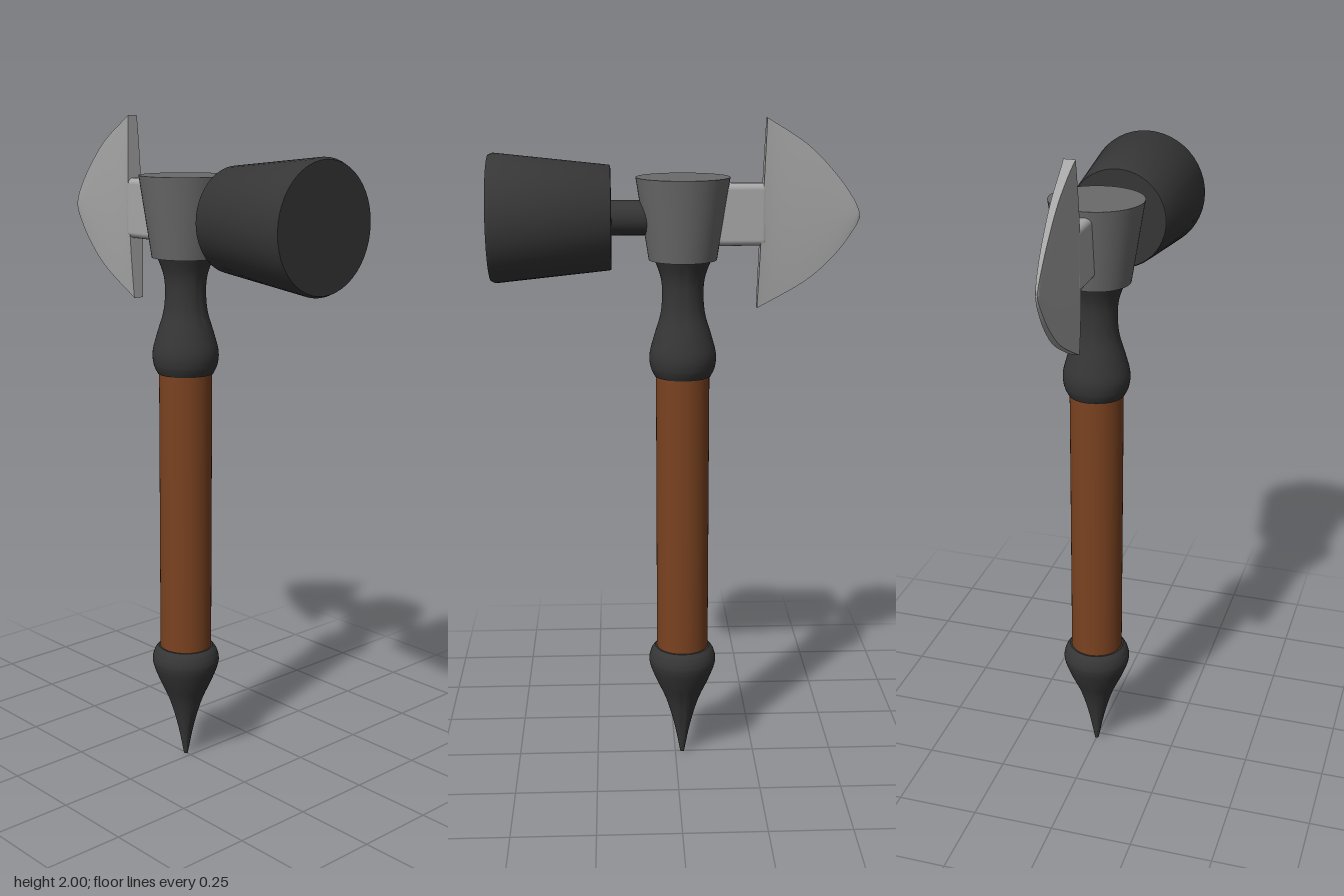
import * as THREE from 'three';
import { toCreasedNormals } from 'three/addons/utils/BufferGeometryUtils.js';
import { RoundedBoxGeometry } from 'three/addons/geometries/RoundedBoxGeometry.js';

const AXIS = -0.022; // x of the handle's axis
const HEAD_Y = 1.717; // height of the hammer and blade
const SEGMENTS = 48;

const material = (color) => new THREE.MeshStandardMaterial({ color });
const wood = material(0x7a4220);
const iron = material(0x363636);
const steel = material(0x6a6a6a);
const bright = material(0xa6a6a6);

function addMesh(group, name, geometry, mat, x, y) {
  const mesh = new THREE.Mesh(geometry, mat);
  mesh.name = name;
  mesh.position.set(x, y, 0);
  group.add(mesh);
  return mesh;
}

// Turned solid from [radius, height] pairs, listed bottom to top
function turned(profile) {
  const points = profile.map(([r, y]) => new THREE.Vector2(r, y));
  return toCreasedNormals(new THREE.LatheGeometry(points, SEGMENTS), 0.6);
}

// Same, but the key points are joined by a smooth curve and the ends are closed
function turnedSmooth(keys) {
  const curve = new THREE.SplineCurve(keys.map(([r, y]) => new THREE.Vector2(r, y)));
  const body = curve.getPoints(36).map((p) => [Math.max(p.x, 0), p.y]);
  const first = keys[0], last = keys[keys.length - 1];
  return turned([[0, first[1]], ...body, [0, last[1]]]);
}

// Blade lofted from its pointed tip to its flat back, thinning toward the rim
function bladeGeometry() {
  const spline = (pts) => new THREE.SplineCurve(pts.map(([x, y]) => new THREE.Vector2(x, y)));
  const upper = spline([[-0.539, 1.725], [-0.52, 1.767], [-0.466, 1.84], [-0.38, 1.925], [-0.262, 2.0]]);
  const lower = spline([[-0.539, 1.715], [-0.52, 1.678], [-0.466, 1.606], [-0.38, 1.53], [-0.24, 1.452]]);
  const rows = 24, across = 16, positions = [], indices = [];
  const ringSize = 2 * (across + 1);
  for (let i = 0; i <= rows; i++) {
    const u = i / rows;
    const top = upper.getPoint(u), bottom = lower.getPoint(u);
    const half = 0.003 + 0.017 * u + 0.006 * u ** 8;
    for (let k = 0; k < ringSize; k++) {
      const front = k <= across;
      const v = (front ? k : ringSize - 1 - k) / across;
      const p = bottom.clone().lerp(top, v);
      const z = half * (1 - 0.35 * (2 * v - 1) ** 2);
      positions.push(p.x, p.y, front ? z : -z);
    }
  }
  for (let i = 0; i < rows; i++) {
    for (let k = 0; k < ringSize; k++) {
      const n = (k + 1) % ringSize;
      const a = i * ringSize + k, b = i * ringSize + n;
      indices.push(a, a + ringSize, b, b, a + ringSize, b + ringSize);
    }
  }
  // Caps at the tip and the back
  const last = rows * ringSize;
  for (let k = 1; k < ringSize - 1; k++) {
    indices.push(0, k, k + 1, last, last + k + 1, last + k);
  }
  const geometry = new THREE.BufferGeometry();
  geometry.setAttribute('position', new THREE.Float32BufferAttribute(positions, 3));
  geometry.setIndex(indices);
  return toCreasedNormals(geometry, 0.7);
}

export function createModel() {
  const model = new THREE.Group();
  model.name = 'hammerAxe';

  // Handle with its pointed foot and waisted collar
  addMesh(model, 'handle', new THREE.CylinderGeometry(0.08, 0.08, 0.92, SEGMENTS), wood, AXIS, 0.81);
  addMesh(model, 'footSpike', turnedSmooth([
    [0.006, 0], [0.026, 0.1], [0.052, 0.19], [0.085, 0.265], [0.104, 0.32], [0.099, 0.355], [0.085, 0.375],
  ]), iron, AXIS, 0);
  addMesh(model, 'collar', turnedSmooth([
    [0.084, 1.248], [0.096, 1.275], [0.099, 1.315], [0.085, 1.37], [0.066, 1.435],
    [0.061, 1.5], [0.067, 1.55], [0.088, 1.605],
  ]), iron, AXIS, 0);

  // Tapered socket joining everything
  addMesh(model, 'headSocket', new THREE.CylinderGeometry(0.137, 0.1, 0.238, SEGMENTS), steel, AXIS, 1.714);

  // Hammer side
  const peg = addMesh(model, 'hammerNeck', new THREE.CylinderGeometry(0.051, 0.051, 0.2, 32), iron, 0.11, HEAD_Y);
  peg.rotation.z = -Math.PI / 2;
  const hammer = addMesh(model, 'hammerHead', turned([
    [0, 0.185], [0.148, 0.187], [0.151, 0.191], [0.186, 0.523], [0.18, 0.536], [0, 0.537],
  ]), iron, 0, HEAD_Y);
  hammer.rotation.z = -Math.PI / 2;

  // Blade side
  addMesh(model, 'bladeNeck', new RoundedBoxGeometry(0.2, 0.18, 0.052, 4, 0.018), bright, -0.17, 1.725);
  addMesh(model, 'blade', bladeGeometry(), bright, 0, 0);

  return model;
}
